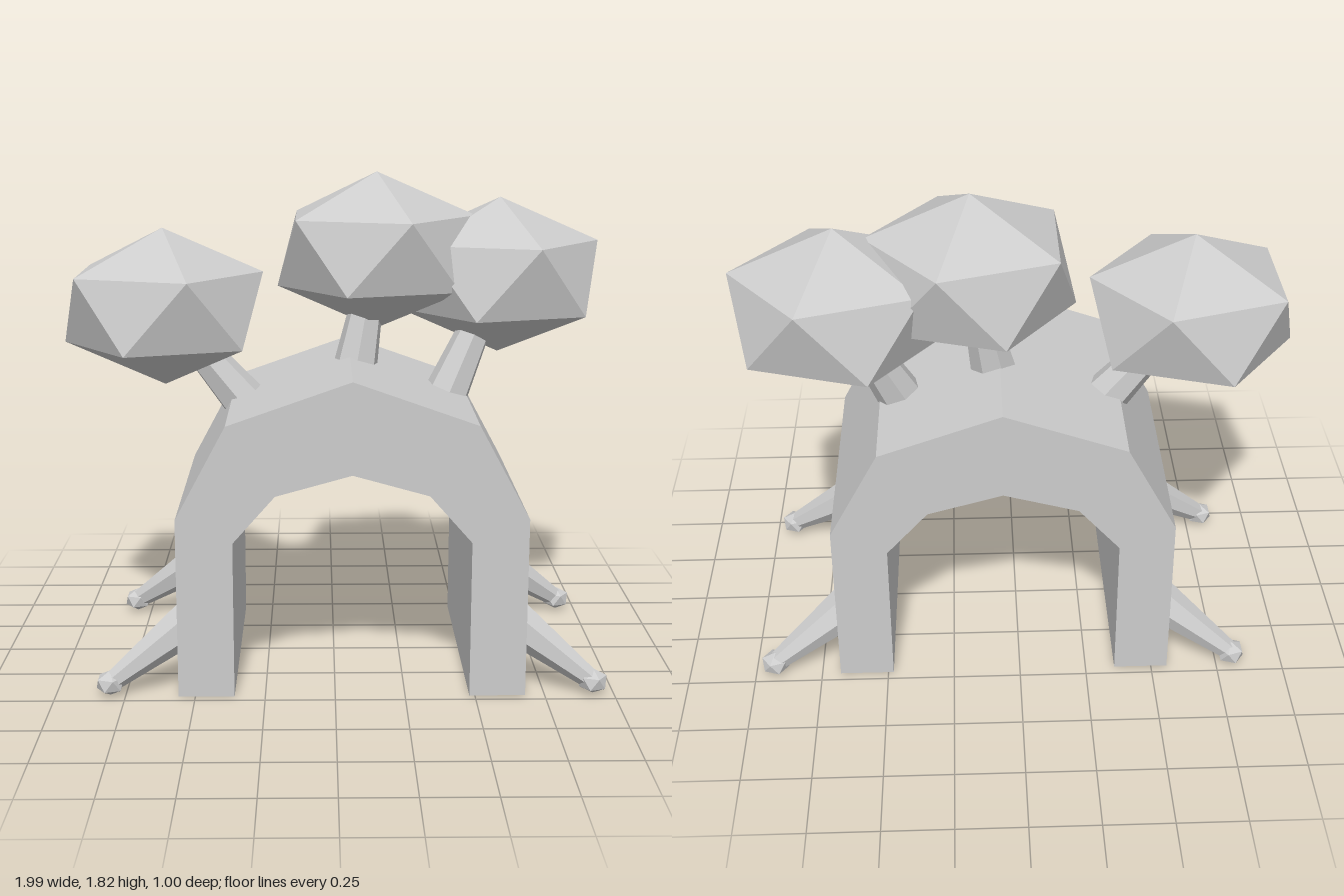
import * as THREE from 'three';

const stone = new THREE.MeshStandardMaterial({ color: 0xcccccc });
stone.name = 'pale grey';

function addMesh(parent, name, geometry) {
  // Separate faces so that every facet gets its own flat normal
  const flat = geometry.index ? geometry.toNonIndexed() : geometry;
  flat.computeVertexNormals();
  const mesh = new THREE.Mesh(flat, stone);
  mesh.name = name;
  parent.add(mesh);
  return mesh;
}

// Twenty-sided ball with one corner straight up and an upper ring corner at +x
function facetBall(rx, ry, rz) {
  const t = (1 + Math.sqrt(5)) / 2;
  return new THREE.IcosahedronGeometry(1, 0).rotateZ(-Math.atan(1 / t)).scale(rx, ry, rz);
}

// Tapered faceted rod from point a to point b
function rod(a, b, ra, rb, sides = 7) {
  const from = new THREE.Vector3(...a);
  const dir = new THREE.Vector3(...b).sub(from);
  const length = dir.length();
  const turn = new THREE.Quaternion().setFromUnitVectors(new THREE.Vector3(0, 1, 0), dir.normalize());
  return new THREE.CylinderGeometry(rb, ra, length, sides)
    .translate(0, length / 2, 0)
    .applyQuaternion(turn)
    .translate(from.x, from.y, from.z);
}

export function createModel() {
  const model = new THREE.Group();
  model.name = 'archWithTrees';
  const midX = 0.06;

  // Angular arch body, mirrored profile extruded front to back
  const outer = [[0.62, 0], [0.62, 0.655], [0.44, 0.99], [0, 1.145]];
  const inner = [[0, 0.815], [0.27, 0.74], [0.42, 0.57], [0.42, 0]];
  const mirror = (pts) => pts.map(([x, y]) => [-x, y]).reverse();
  const profile = [...outer, ...mirror(outer).slice(1), ...mirror(inner), ...inner.slice(1)];
  const shape = new THREE.Shape(profile.map(([x, y]) => new THREE.Vector2(x + midX, y)));
  addMesh(model, 'archBody',
    new THREE.ExtrudeGeometry(shape, { depth: 0.93, bevelEnabled: false }).translate(0, 0, -0.465));

  // Trees: leaning trunk and squashed faceted crown
  const trees = [
    { name: 'rightTree', base: [-0.31, 0.94, -0.05], crown: [-0.63, 1.328, -0.05] },
    { name: 'middleTree', base: [0.075, 1.06, -0.06], crown: [0.16, 1.527, -0.12] },
    { name: 'leftTree', base: [0.41, 0.96, -0.06], crown: [0.625, 1.43, -0.17] },
  ];
  for (const { name, base, crown } of trees) {
    const tree = new THREE.Group();
    tree.name = name;
    addMesh(tree, 'trunk', rod(base, crown, 0.088, 0.045));
    addMesh(tree, 'crown', facetBall(0.413, 0.292, 0.394)).position.set(...crown);
    model.add(tree);
  }

  // Four splayed legs with small faceted feet
  for (const sx of [1, -1]) {
    for (const sz of [1, -1]) {
      const leg = new THREE.Group();
      leg.name = (sz > 0 ? 'front' : 'back') + (sx > 0 ? 'Left' : 'Right') + 'Leg';
      const foot = [midX + sx * 0.865, 0.046, sz * 0.443];
      addMesh(leg, 'shin', rod([midX + sx * 0.57, 0.26, sz * 0.362], foot, 0.084, 0.036));
      addMesh(leg, 'foot', facetBall(0.055, 0.046, 0.056)).position.set(...foot);
      model.add(leg);
    }
  }
  return model;
}
